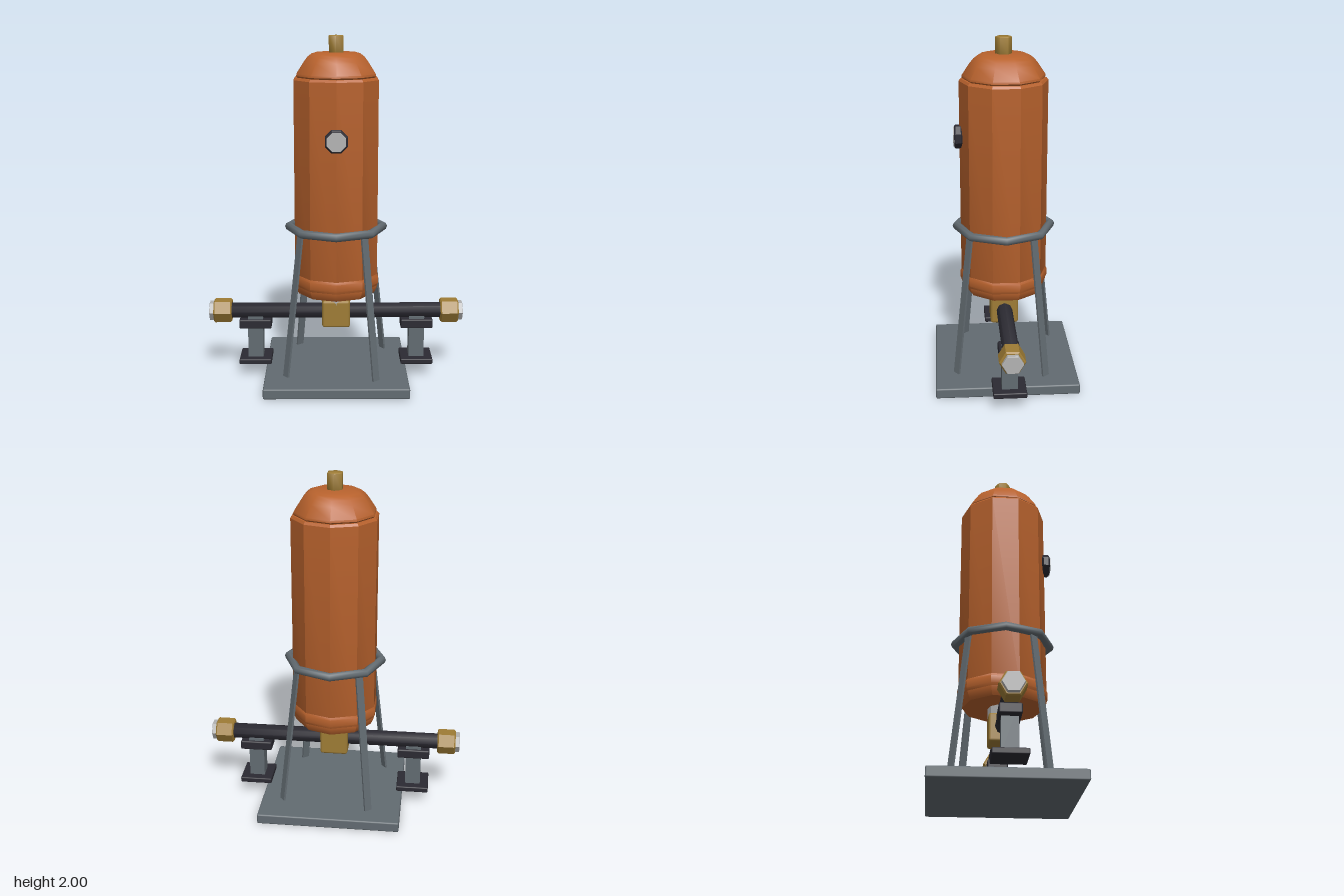
import * as THREE from 'three';
import { toCreasedNormals } from 'three/addons/utils/BufferGeometryUtils.js';
import { RoundedBoxGeometry } from 'three/addons/geometries/RoundedBoxGeometry.js';

const material = (name, color) => {
  const m = new THREE.MeshStandardMaterial({ color });
  m.name = name;
  return m;
};

// Few-sided turned solid: profile of [radius, height] from bottom to top, first corner at +z
function turned(profile, sides, crease = 0.5) {
  const pts = profile.map(([r, y]) => new THREE.Vector2(r, y));
  return toCreasedNormals(new THREE.LatheGeometry(pts, sides), crease);
}

// Closed prism with a small chamfer at both ends
function prism(r, y0, y1, sides, bevel = 0.005, crease = 0.5) {
  return turned([[0, y0], [r - bevel, y0], [r, y0 + bevel], [r, y1 - bevel], [r - bevel, y1], [0, y1]], sides, crease);
}

export function createModel() {
  const orange = material('orange paint', 0xb8622d);
  const grey = material('steel grey', 0x626b71);
  const dark = material('dark rubber', 0x2b2a32);
  const brass = material('brass', 0x9e7c35);
  const pale = material('pale metal', 0xb2b2b2);

  const model = new THREE.Group();
  model.name = 'pressureTank';
  const add = (name, geometry, mat, x = 0, y = 0, z = 0, parent = model) => {
    const mesh = new THREE.Mesh(geometry, mat);
    mesh.name = name;
    mesh.position.set(x, y, z);
    parent.add(mesh);
    return mesh;
  };
  const box = (w, h, d, r = 0.008) => new RoundedBoxGeometry(w, h, d, 1, r);

  // Tank
  add('tankBody', turned([[0, 0.515], [0.228, 0.515], [0.238, 0.53], [0.25, 0.56], [0.25, 1.757],
    [0.24, 1.77], [0, 1.77]], 10), orange);
  add('lowerBand', turned([[0.235, 0.56], [0.25, 0.565], [0.256, 0.58], [0.256, 0.62],
    [0.25, 0.634], [0.235, 0.64]], 10, 0.62), orange);
  add('dome', turned([[0.225, 1.768], [0.234, 1.778], [0.232, 1.79], [0.19, 1.853], [0.168, 1.88],
    [0.145, 1.897], [0.115, 1.906], [0, 1.907]], 10, 0.7), orange);
  add('topNozzle', prism(0.047, 1.89, 2.0, 6, 0.004, 1.1), brass);

  // Gauge on the tank front
  const gauge = new THREE.Group();
  gauge.name = 'gauge';
  gauge.position.set(0, 1.44, 0.235);
  gauge.rotation.set(Math.PI / 2, 0, 0);
  model.add(gauge);
  add('gaugeCase', prism(0.068, 0, 0.045, 8, 0.008), dark, 0, 0, 0, gauge).rotation.y = Math.PI / 8;
  add('gaugeFace', prism(0.057, 0.043, 0.05, 8, 0.001), pale, 0, 0, 0, gauge).rotation.y = Math.PI / 8;

  // Stand: base plate, hoop and four splayed flat legs
  add('basePlate', box(0.83, 0.06, 0.83), grey, 0, 0.03, 0);
  add('hoop', new THREE.TorusGeometry(0.273, 0.025, 8, 8), grey, 0, 0.903, 0).rotation.x = Math.PI / 2;
  const foot = 0.37, top = 0.256, y0 = 0.05, y1 = 0.9;
  for (let i = 0; i < 4; i++) {
    const a = Math.atan2(0.23, 0.295) + i * Math.PI / 2;
    const r = (foot + top) / 2;
    const leg = add('leg', new THREE.BoxGeometry(0.045, Math.hypot(foot - top, y1 - y0), 0.012), grey,
      r * Math.sin(a), (y0 + y1) / 2, r * Math.cos(a));
    leg.rotation.set(-Math.atan2(foot - top, y1 - y0), a, 0, 'YXZ');
  }

  // Outlet and cross pipe
  add('neck', prism(0.083, 0.44, 0.52, 10, 0.003), pale);
  add('outletBlock', box(0.165, 0.165, 0.165, 0.015), brass, 0, 0.385, 0);
  const pipeY = 0.387;
  add('crossPipe', prism(0.047, -0.63, 0.63, 8, 0.002, 0.9), dark, 0, pipeY, 0).rotation.z = Math.PI / 2;

  for (const side of [1, -1]) {
    // Pipe end fittings
    add('endNut', prism(0.073, 0.618, 0.725, 6, 0.008), brass, 0, pipeY, 0).rotation.z = -side * Math.PI / 2;
    add('endCap', prism(0.059, 0.715, 0.75, 6, 0.003), pale, 0, pipeY, 0).rotation.z = -side * Math.PI / 2;

    // Pipe support
    const support = new THREE.Group();
    support.name = side > 0 ? 'leftSupport' : 'rightSupport';
    support.position.x = side * 0.478;
    model.add(support);
    add('supportFoot', box(0.19, 0.032, 0.19, 0.006), dark, 0, 0.095, 0, support);
    add('supportColumn', new THREE.BoxGeometry(0.09, 0.265, 0.09), grey, 0, 0.2275, 0, support);
    add('saddle', box(0.19, 0.055, 0.12, 0.008), dark, 0, 0.317, 0, support);
  }
  return model;
}
